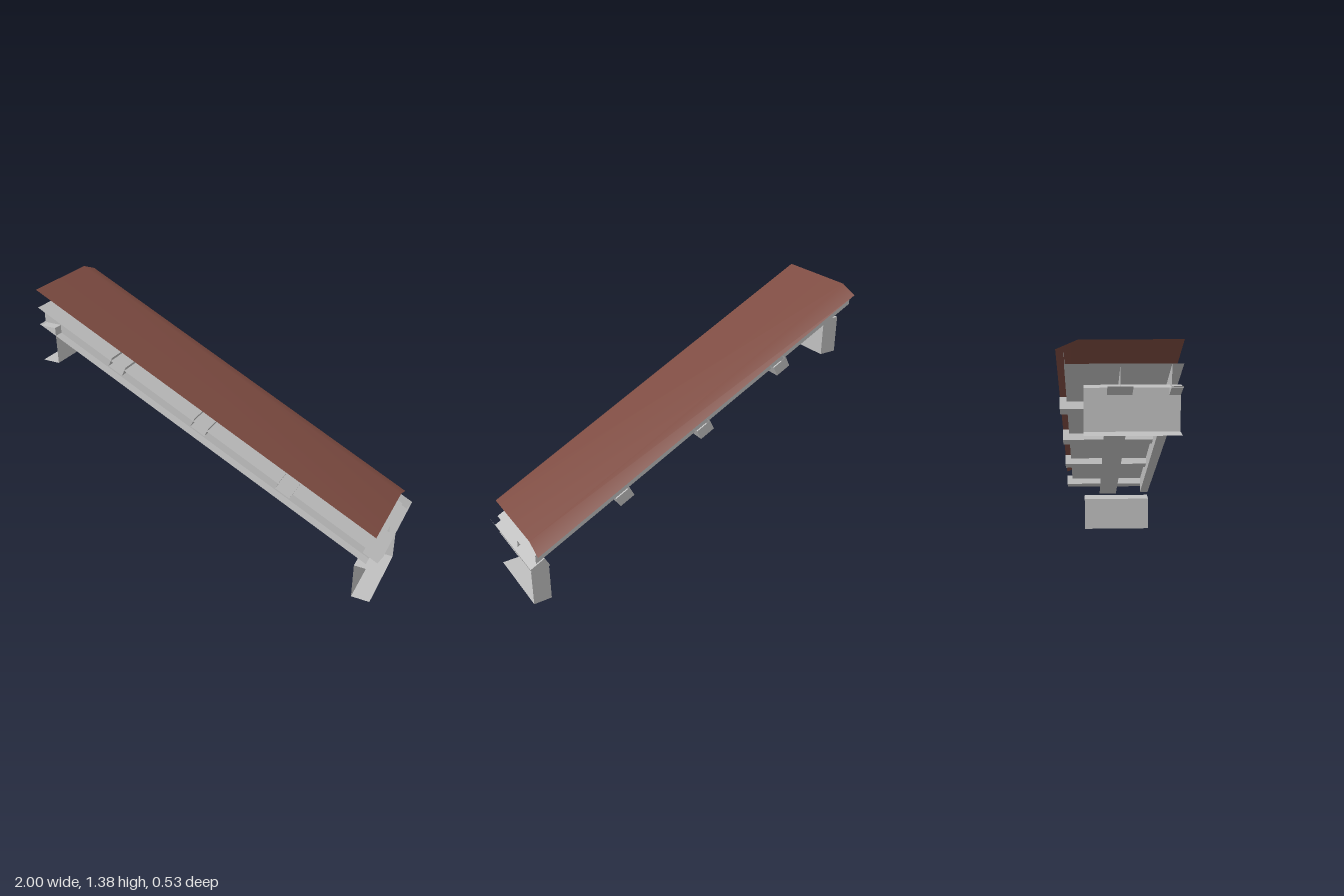
import * as THREE from 'three';

const SLOPE = 0.4987, ANGLE = Math.atan(SLOPE);
const LOW = 0.955, HIGH = -1, CUT = 0.27;
const deckY = (x) => 0.31 + SLOPE * (LOW - x);

const steel = new THREE.MeshStandardMaterial({ color: 0xc0c0c0, side: THREE.DoubleSide });
steel.name = 'grey steel';
const roofing = new THREE.MeshStandardMaterial({ color: 0x7d4b41, side: THREE.DoubleSide });
roofing.name = 'red brown sheet';

function mesh(name, geometry, material = steel) {
  const m = new THREE.Mesh(geometry, material);
  m.name = name;
  return m;
}

// Thin sheet along the slope; each profile point is [z, height above the deck, low end x]
function slopedSheet(profile, smooth = false) {
  const pos = [], index = [];
  for (const [z, h, end = LOW] of profile) {
    for (const x of [HIGH, end]) pos.push(x, deckY(x) + h, z);
  }
  for (let i = 0; i < profile.length - 1; i++) {
    const a = i * 2;
    index.push(a, a + 1, a + 2, a + 1, a + 3, a + 2);
  }
  let g = new THREE.BufferGeometry();
  g.setAttribute('position', new THREE.Float32BufferAttribute(pos, 3));
  g.setIndex(index);
  if (!smooth) g = g.toNonIndexed();
  g.computeVertexNormals();
  return g;
}

// Channel along z: web at x = 0, flanges reaching to x = depth, closed at the back
function channel(name, depth, height, back) {
  const group = new THREE.Group();
  group.name = name;
  const length = CUT - back, mid = (CUT + back) / 2, d = Math.abs(depth);
  const web = mesh(name + 'Web', new THREE.PlaneGeometry(length, height).rotateY(Math.PI / 2));
  web.position.z = mid;
  group.add(web);
  for (const s of [-1, 1]) {
    const flange = mesh(name + 'Flange', new THREE.PlaneGeometry(d, length).rotateX(-s * Math.PI / 2));
    flange.position.set(depth / 2, s * height / 2, mid);
    group.add(flange);
  }
  const cap = mesh(name + 'EndPlate', new THREE.PlaneGeometry(d, height).rotateY(Math.PI));
  cap.position.set(depth / 2, 0, back);
  group.add(cap);
  return group;
}

export function createModel() {
  const model = new THREE.Group();
  model.name = 'slopedRoofSection';

  // Roof covering with a bent-down eave
  model.add(mesh('roofSheet', slopedSheet([[CUT, 0.1], [-0.17, 0.1], [-0.265, 0.06]], true), roofing));

  // Deck with raised outer edge
  model.add(mesh('deck', slopedSheet([[CUT, 0], [-0.23, 0], [-0.23, 0.05]])));

  // Main beam: web and bottom flange
  model.add(mesh('beamWeb', slopedSheet([[0.005, 0], [0.005, -0.095]])));
  model.add(mesh('beamFlange', slopedSheet([[0.06, -0.095], [-0.05, -0.095]])));

  // Inner rail, its low end cut square to the slope
  model.add(mesh('innerRail', slopedSheet([[0.22, 0, 0.953], [0.22, -0.095, 0.916], [CUT, -0.095, 0.916]])));

  // Cross ties, open upward through the deck
  for (let i = 0; i < 4; i++) {
    const x = 0.95 - i * 0.488, drop = 0.036;
    const tie = channel('crossTie', 0.058, 0.09, -0.263);
    tie.rotation.z = Math.PI / 2 - ANGLE;
    tie.position.set(x - drop * Math.sin(ANGLE), deckY(x) - drop * Math.cos(ANGLE), 0);
    model.add(tie);
  }

  // End supports, open outward
  const lower = channel('lowerSupport', 0.1, 0.205, -0.15);
  lower.position.set(0.855, 0.1025, 0);
  const upper = channel('upperSupport', -0.1, 0.205, -0.15);
  upper.position.set(-0.9, 1.0825, 0);
  model.add(lower, upper);

  return model;
}
